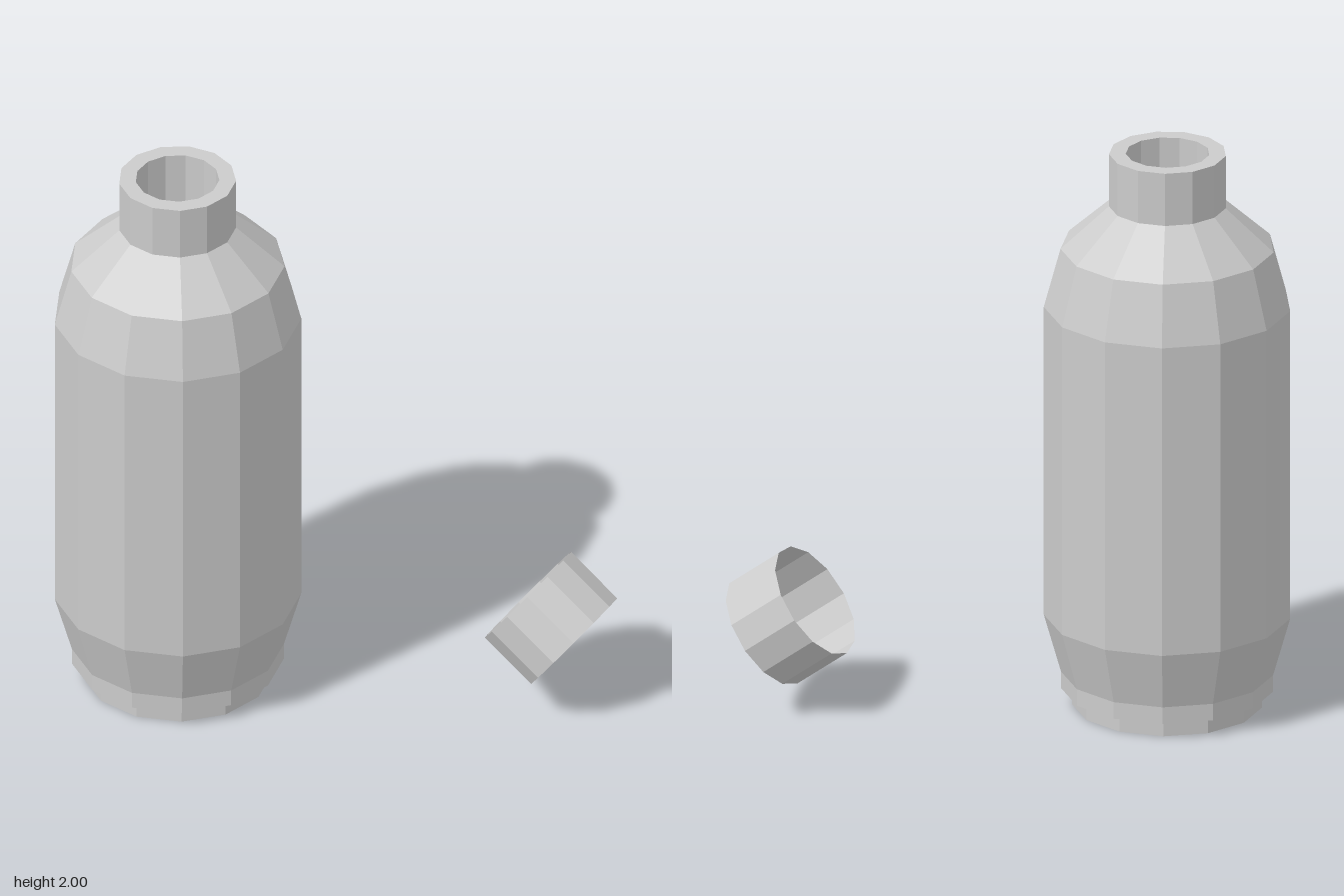
import * as THREE from 'three';

const SIDES = 13;

// Faceted solid of revolution from [radius, height] points
function lathe(name, points, phiStart, side) {
  const profile = points.map(([r, y]) => new THREE.Vector2(r, y));
  const material = new THREE.MeshStandardMaterial({ color: 0xcccccc, flatShading: true, side });
  const mesh = new THREE.Mesh(new THREE.LatheGeometry(profile, SIDES, phiStart), material);
  mesh.name = name;
  return mesh;
}

export function createModel() {
  const model = new THREE.Group();
  model.name = 'bottleWithCap';

  // Bottle: foot, body, shoulder and hollow neck
  const bottle = new THREE.Group();
  bottle.name = 'bottle';
  bottle.position.set(-0.305, 0, -0.4);
  bottle.add(
    lathe('body', [
      [0, 0], [0.325, 0], [0.325, 0.06], [0.363, 0.06], [0.363, 0.12],
      [0.422, 0.33], [0.422, 1.45], [0.365, 1.66], [0.2, 1.81],
    ], Math.PI, THREE.FrontSide),
    lathe('neck', [
      [0.2, 1.81], [0.2, 2], [0.143, 2], [0.143, 1.81], [0, 1.81],
    ], Math.PI, THREE.FrontSide),
  );
  model.add(bottle);

  // Thin open cap lying tilted, its closed end facing forward and down
  const cap = lathe('cap', [[0.208, -0.222], [0.208, 0], [0, 0]], 0, THREE.DoubleSide);
  const axis = new THREE.Vector3(0.245, -0.6, 0.76).normalize();
  const across = new THREE.Vector3().crossVectors(axis, new THREE.Vector3(0.06, 0.17, 0.115)).normalize();
  const corner = new THREE.Vector3().crossVectors(across, axis);
  cap.quaternion.setFromRotationMatrix(new THREE.Matrix4().makeBasis(across, axis, corner));
  cap.position.set(0.515, 0.255, 0.69);
  model.add(cap);

  return model;
}
